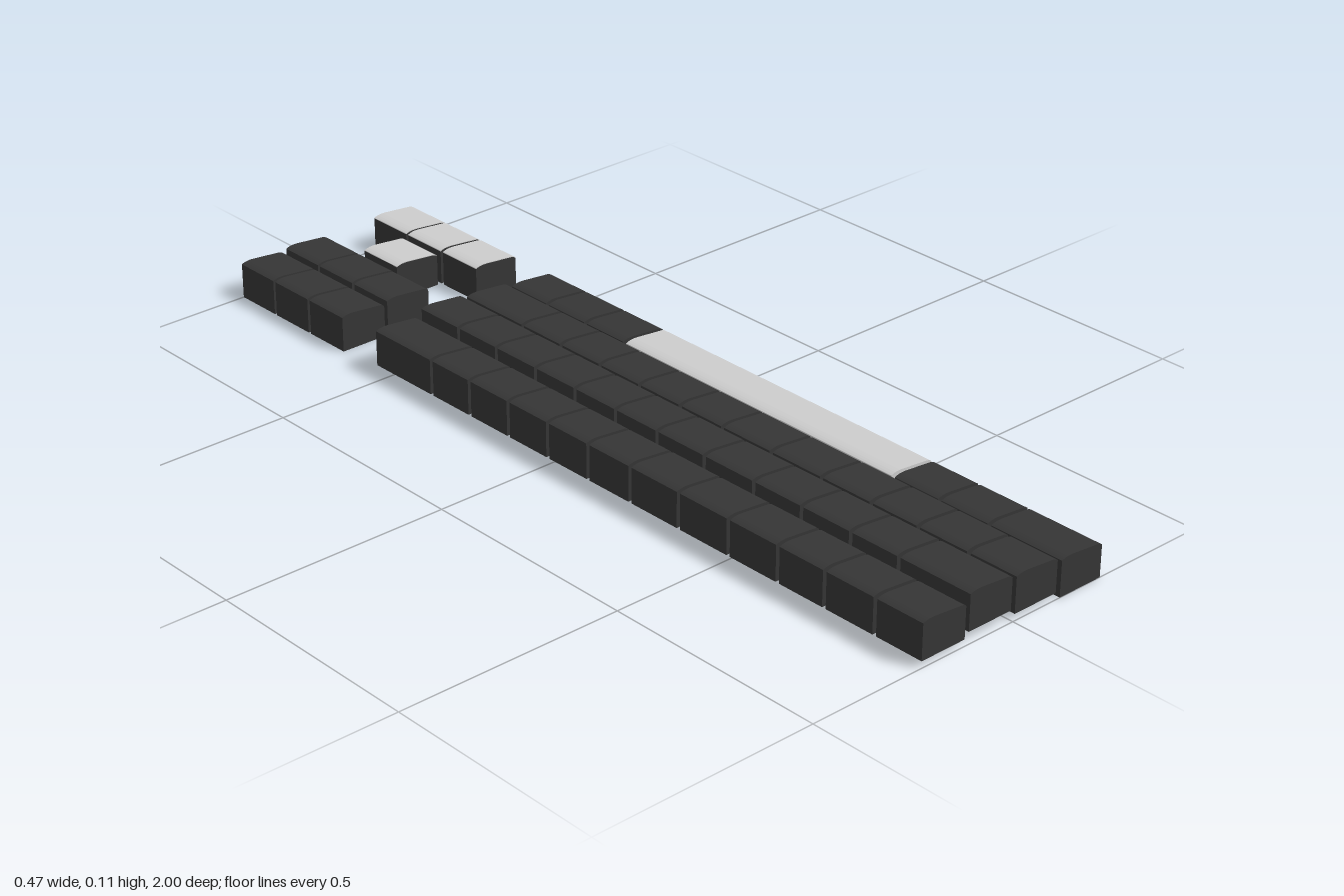
import * as THREE from 'three';

const WIDTH = 0.109, GAP = 0.009, SKIN = 0.0015;
const dark = new THREE.MeshStandardMaterial({ color: 0x353535 });
const light = new THREE.MeshStandardMaterial({ color: 0xcccccc });

// Key side profile: flat base, sloping top with softened ends
function keyShape(drop = 0) {
  const s = new THREE.Shape();
  s.moveTo(0, 0);
  s.lineTo(WIDTH, 0);
  s.lineTo(WIDTH, 0.069 - drop);
  s.quadraticCurveTo(0.105, 0.073 - drop, 0.097, 0.0745 - drop);
  s.lineTo(0.03, 0.081 - drop);
  s.quadraticCurveTo(0.011, 0.0825 - drop, 0, 0.077 - drop);
  s.closePath();
  return s;
}

// Thin sheet following the sloping top
function topShape() {
  const upper = keyShape().getPoints(5).filter(p => p.y > 0.01);
  const lower = upper.map(p => new THREE.Vector2(p.x, p.y - SKIN)).reverse();
  return new THREE.Shape([...upper, ...lower]);
}

function extrude(shape, length, material, name) {
  const geo = new THREE.ExtrudeGeometry(shape, { depth: length, bevelEnabled: false, curveSegments: 5 });
  const mesh = new THREE.Mesh(geo, material);
  mesh.name = name;
  return mesh;
}

// One key between two z positions
function makeKey(name, x, y, z0, z1, material = dark, lightTop = false) {
  const key = new THREE.Group();
  key.name = name;
  key.add(extrude(keyShape(lightTop ? SKIN : 0), z1 - z0, material, 'keyBody'));
  if (lightTop) key.add(extrude(topShape(), z1 - z0, light, 'keyTop'));
  key.position.set(x, y, z0);
  return key;
}

export function createModel() {
  const model = new THREE.Group();
  model.name = 'keyboardKeys';

  // Main block: four staggered rows, each split along z
  const wideEnd = [-0.534, -0.356, -0.237, -0.118, 0, 0.118, 0.238, 0.373, 0.508, 0.638, 0.758, 0.884, 1.009];
  const rows = [
    { name: 'upperRow', x: -0.235, y: 0.0145, cuts: wideEnd },
    { name: 'secondRow', x: -0.116, y: 0.026, cuts: [-0.534, -0.415, -0.296, -0.175, -0.056, 0.063, 0.183, 0.315, 0.45, 0.577, 0.704, 0.825, 1.009] },
    { name: 'thirdRow', x: 0.004, y: 0.0145, cuts: wideEnd },
    { name: 'bottomRow', x: 0.125, y: 0, cuts: [-0.534, -0.42, -0.3, -0.18, 0.577, 0.698, 0.823, 1.009] },
  ];
  for (const { name, x, y, cuts } of rows) {
    const row = new THREE.Group();
    row.name = name;
    for (let i = 0; i < cuts.length - 1; i++) {
      const isSpace = cuts[i + 1] - cuts[i] > 0.5;
      const start = i === 0 ? cuts[i] : cuts[i] + GAP / 2;
      const end = i === cuts.length - 2 ? 1 : cuts[i + 1] - GAP / 2;
      row.add(makeKey(isSpace ? 'spaceBar' : 'key', x, y, start, end, isSpace ? light : dark));
    }
    model.add(row);
  }

  // Separate cluster: six dark keys and four light-topped arrow keys
  const navigation = new THREE.Group();
  navigation.name = 'navigationKeys';
  const arrows = new THREE.Group();
  arrows.name = 'arrowKeys';
  [-1, -0.882, -0.763].forEach((z, i) => {
    for (const x of [-0.231, -0.114]) navigation.add(makeKey('navigationKey', x, 0, z, z + 0.111));
    if (i === 1) arrows.add(makeKey('upArrowKey', 0.006, 0, z, z + 0.111, dark, true));
    arrows.add(makeKey('arrowKey', 0.125, 0, z, z + 0.111, dark, true));
  });
  model.add(navigation, arrows);
  return model;
}
